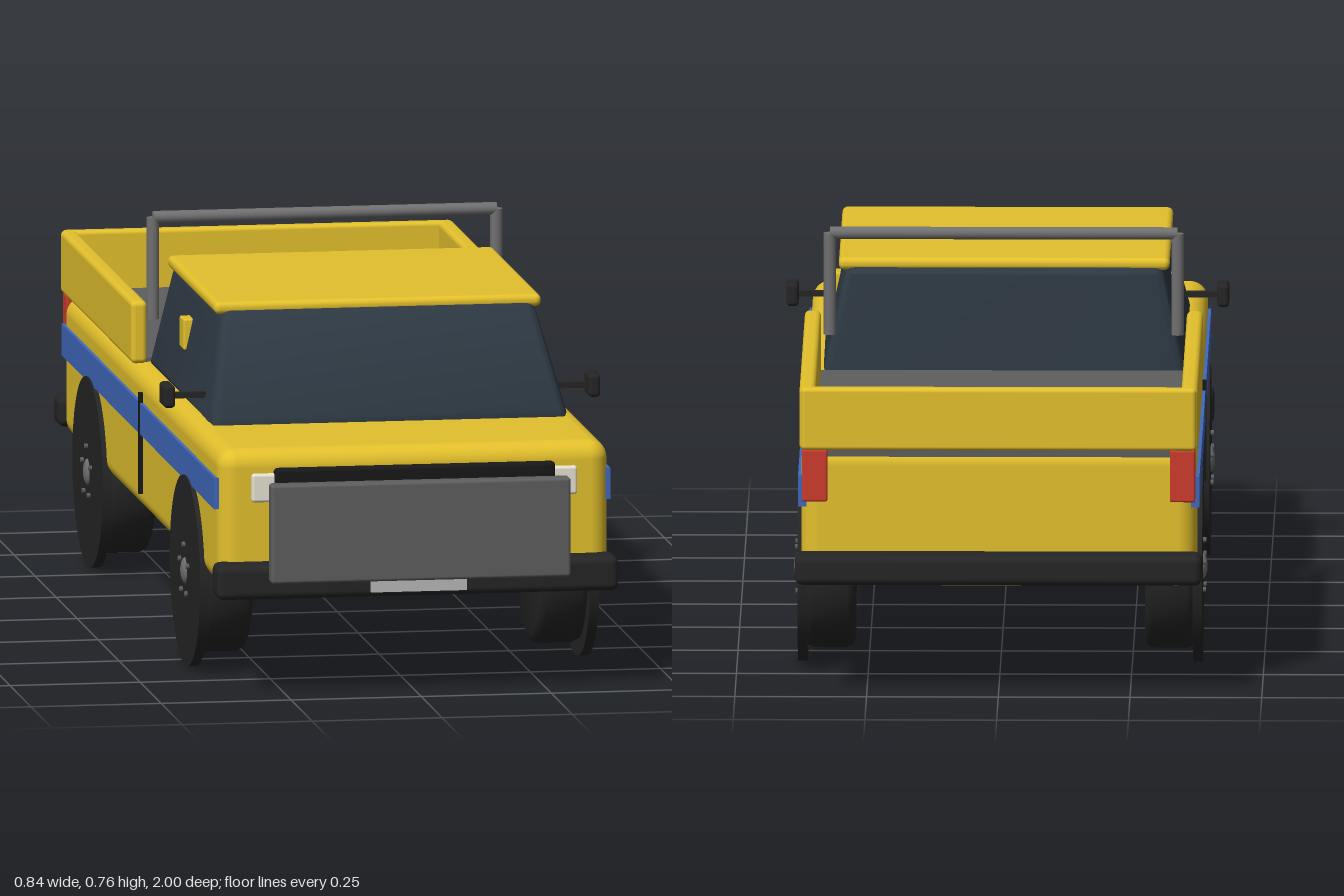
import * as THREE from 'three';
import { toCreasedNormals } from 'three/addons/utils/BufferGeometryUtils.js';
import { RoundedBoxGeometry } from 'three/addons/geometries/RoundedBoxGeometry.js';

const mat = (color) => new THREE.MeshStandardMaterial({ color });

export function createModel() {
  const truck = new THREE.Group();
  truck.name = 'pickupTruck';
  const yellow = mat(0xe3c02c), blue = mat(0x4068bc), dark = mat(0x252525), black = mat(0x181818);
  const glass = mat(0x2d3842), grey = mat(0x5e5e5e), steel = mat(0x707070);
  const white = mat(0xe6e2d2), plateGrey = mat(0xb8b8b8), red = mat(0xcc3b2c);

  const add = (name, geometry, material, parent = truck) => {
    const mesh = new THREE.Mesh(geometry, material);
    mesh.name = name;
    parent.add(mesh);
    return mesh;
  };
  // Box given by its limits on each axis, with optional rounded edges
  const box = (name, material, [x0, x1], [y0, y1], [z0, z1], r = 0) => {
    const size = [x1 - x0, y1 - y0, z1 - z0];
    const g = r ? new RoundedBoxGeometry(...size, 4, r) : new THREE.BoxGeometry(...size);
    return add(name, g.translate((x0 + x1) / 2, (y0 + y1) / 2, (z0 + z1) / 2), material);
  };
  // The same box on both sides
  const pair = (name, material, [x0, x1], y, z, r) => {
    box(name + 'Left', material, [x0, x1], y, z, r);
    box(name + 'Right', material, [-x1, -x0], y, z, r);
  };

  // Lower body with side stripes and door seams
  box('body', yellow, [-0.375, 0.375], [0.2, 0.47], [-0.935, 0.915], 0.035);
  pair('sideStripe', blue, [0.365, 0.381], [0.355, 0.415], [-0.925, 0.895]);
  pair('doorSeam', black, [0.365, 0.383], [0.24, 0.435], [0.002, 0.01]);

  // Glass cabin: side profile (z, y), bevelled, then narrowed towards the roof
  const profile = [[-0.115, 0.465], [0.622, 0.465], [0.622, 0.48], [0.505, 0.655], [0.485, 0.67],
    [-0.075, 0.67], [-0.09, 0.655]].map(([z, y]) => new THREE.Vector2(z, y));
  const bevel = 0.02, half = 0.345;
  const cabin = new THREE.ExtrudeGeometry(new THREE.Shape(profile), {
    depth: 2 * (half - bevel), bevelEnabled: true, bevelThickness: bevel,
    bevelSize: bevel, bevelOffset: -bevel, bevelSegments: 4,
  });
  cabin.translate(0, 0, -(half - bevel)).rotateY(-Math.PI / 2);
  const p = cabin.attributes.position;
  for (let i = 0; i < p.count; i++) {
    p.setX(i, p.getX(i) * (1 - 0.13 * (p.getY(i) - 0.47) / 0.2));
  }
  add('cabinGlass', toCreasedNormals(cabin, 0.6), glass);
  box('roof', yellow, [-0.314, 0.314], [0.66, 0.684], [-0.08, 0.488], 0.011);
  pair('cabinPillar', yellow, [0.3, 0.332], [0.55, 0.61], [0.177, 0.225], 0.004);

  // Open cargo bed
  pair('bedWall', yellow, [0.347, 0.378], [0.47, 0.59], [-0.96, -0.11], 0.01);
  box('tailgate', yellow, [-0.375, 0.375], [0.47, 0.59], [-0.965, -0.937], 0.008);
  box('bedFloor', grey, [-0.35, 0.35], [0.455, 0.478], [-0.945, -0.135]);

  // Roll bar behind the cabin
  const bar = (name, length) => add(name, new THREE.CylinderGeometry(0.012, 0.012, length, 16), steel);
  for (const s of [1, -1]) {
    bar(s > 0 ? 'rollBarPostLeft' : 'rollBarPostRight', 0.195).position.set(s * 0.33, 0.6475, -0.15);
  }
  const cross = bar('rollBarTop', 0.66);
  cross.rotation.z = Math.PI / 2;
  cross.position.set(0, 0.745, -0.15);

  // Front end
  box('grille', black, [-0.27, 0.27], [0.32, 0.435], [0.9, 0.93], 0.008);
  pair('headlight', white, [0.235, 0.313], [0.37, 0.425], [0.895, 0.924], 0.006);
  box('frontBumper', dark, [-0.386, 0.386], [0.19, 0.256], [0.895, 0.968], 0.014);
  box('frontPanel', grey, [-0.288, 0.288], [0.225, 0.415], [0.965, 1.0], 0.006);
  box('blankPlate', plateGrey, [-0.092, 0.092], [0.2, 0.24], [0.95, 0.973]);

  // Rear end
  box('rearBumper', dark, [-0.386, 0.386], [0.215, 0.272], [-0.998, -0.925], 0.014);
  pair('tailLight', red, [0.325, 0.373], [0.37, 0.47], [-0.957, -0.915], 0.004);

  // Door mirrors
  pair('mirrorArm', dark, [0.32, 0.4], [0.506, 0.517], [0.5, 0.512]);
  pair('mirror', dark, [0.397, 0.42], [0.491, 0.535], [0.475, 0.537], 0.008);

  // Wheels: rounded tyre, thin outer disc, hub cap and bolts, axis along +y before turning
  const tyreProfile = [[0, 0.275], [0.14, 0.275], [0.15, 0.279], [0.155, 0.29], [0.155, 0.355],
    [0.15, 0.366], [0.14, 0.37], [0, 0.37]].map(([r, y]) => new THREE.Vector2(r, y));
  const tyre = toCreasedNormals(new THREE.LatheGeometry(tyreProfile, 40).toNonIndexed(), 0.9);
  const disc = new THREE.CylinderGeometry(0.182, 0.182, 0.018, 48).translate(0, 0.375, 0);
  const hub = new THREE.SphereGeometry(0.026, 20, 12).scale(1, 0.4, 1).translate(0, 0.382, 0);
  const bolt = new THREE.CylinderGeometry(0.005, 0.005, 0.012, 8);
  for (const [end, z] of [['front', 0.565], ['rear', -0.595]]) {
    for (const s of [1, -1]) {
      const wheel = new THREE.Group();
      wheel.name = end + (s > 0 ? 'LeftWheel' : 'RightWheel');
      add('tyre', tyre, dark, wheel);
      add('wheelDisc', disc, dark, wheel);
      add('hubCap', hub, steel, wheel);
      for (let i = 0; i < 5; i++) {
        const a = (i / 5) * Math.PI * 2;
        add('wheelBolt', bolt, grey, wheel).position.set(Math.cos(a) * 0.05, 0.384, Math.sin(a) * 0.05);
      }
      wheel.rotation.z = -s * Math.PI / 2;
      wheel.position.set(0, 0.184, z);
      truck.add(wheel);
    }
  }
  return truck;
}
